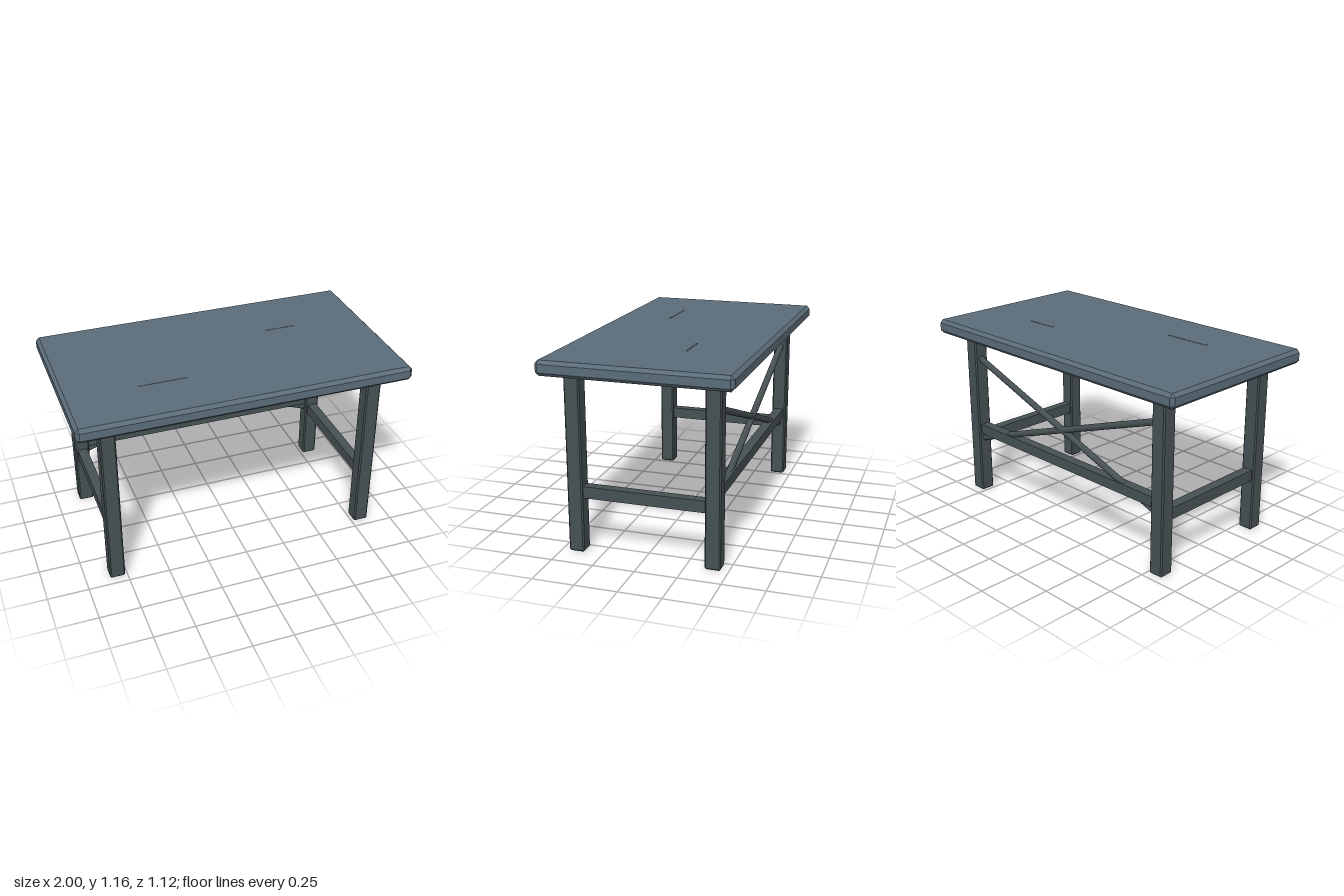
import * as THREE from 'three';
import { ConvexGeometry } from 'three/addons/geometries/ConvexGeometry.js';

// Box with every edge cut by a flat chamfer of size b
function chamferBox(w, h, d, b) {
  const points = [];
  for (const sx of [-1, 1]) for (const sy of [-1, 1]) for (const sz of [-1, 1]) {
    const x = sx * w / 2, y = sy * h / 2, z = sz * d / 2;
    points.push(
      new THREE.Vector3(x, y - sy * b, z - sz * b),
      new THREE.Vector3(x - sx * b, y, z - sz * b),
      new THREE.Vector3(x - sx * b, y - sy * b, z));
  }
  return new ConvexGeometry(points);
}

export function createModel() {
  const table = new THREE.Group();
  table.name = 'table';
  const topPaint = new THREE.MeshStandardMaterial({ color: 0x5b6d7a });
  topPaint.name = 'slateBlue';
  const framePaint = new THREE.MeshStandardMaterial({ color: 0x465053 });
  framePaint.name = 'darkGrey';

  const add = (name, geometry, material, x, y, z) => {
    const mesh = new THREE.Mesh(geometry, material);
    mesh.name = name;
    mesh.position.set(x, y, z);
    table.add(mesh);
    return mesh;
  };

  const legX = 0.81, legZ = 0.408, legW = 0.092, topBase = 1.072;

  // Table top with two barely raised marks
  add('tableTop', chamferBox(2, 0.088, 1.115, 0.02), topPaint, 0, topBase + 0.044, 0);
  add('longMark', new THREE.BoxGeometry(0.3, 0.004, 0.012), topPaint, -0.42, 1.16, 0.22);
  add('shortMark', new THREE.BoxGeometry(0.2, 0.004, 0.012), topPaint, 0.45, 1.16, -0.16);

  // Legs and side stretchers
  const legShape = chamferBox(legW, topBase, legW, 0.008);
  for (const [side, sx] of [['left', 1], ['right', -1]]) {
    add(side + 'FrontLeg', legShape, framePaint, sx * legX, topBase / 2, legZ);
    add(side + 'BackLeg', legShape, framePaint, sx * legX, topBase / 2, -legZ);
    add(side + 'Stretcher', new THREE.BoxGeometry(0.06, 0.07, 2 * legZ - legW + 0.02),
      framePaint, sx * legX, 0.366, 0);
  }

  // Back stretcher
  add('backStretcher', new THREE.BoxGeometry(2 * legX - legW + 0.02, 0.064, 0.06),
    framePaint, 0, 0.439, -legZ);

  // Crossed round braces between the back legs
  const rise = 0.55, run = 1.56;
  const braceShape = new THREE.CylinderGeometry(0.02, 0.02, Math.hypot(rise, run), 12);
  for (const s of [-1, 1]) {
    const brace = add(s > 0 ? 'risingBrace' : 'fallingBrace', braceShape, framePaint, 0, 0.642, -legZ);
    brace.rotation.z = s * Math.atan2(rise, run) - Math.PI / 2;
  }
  return table;
}
